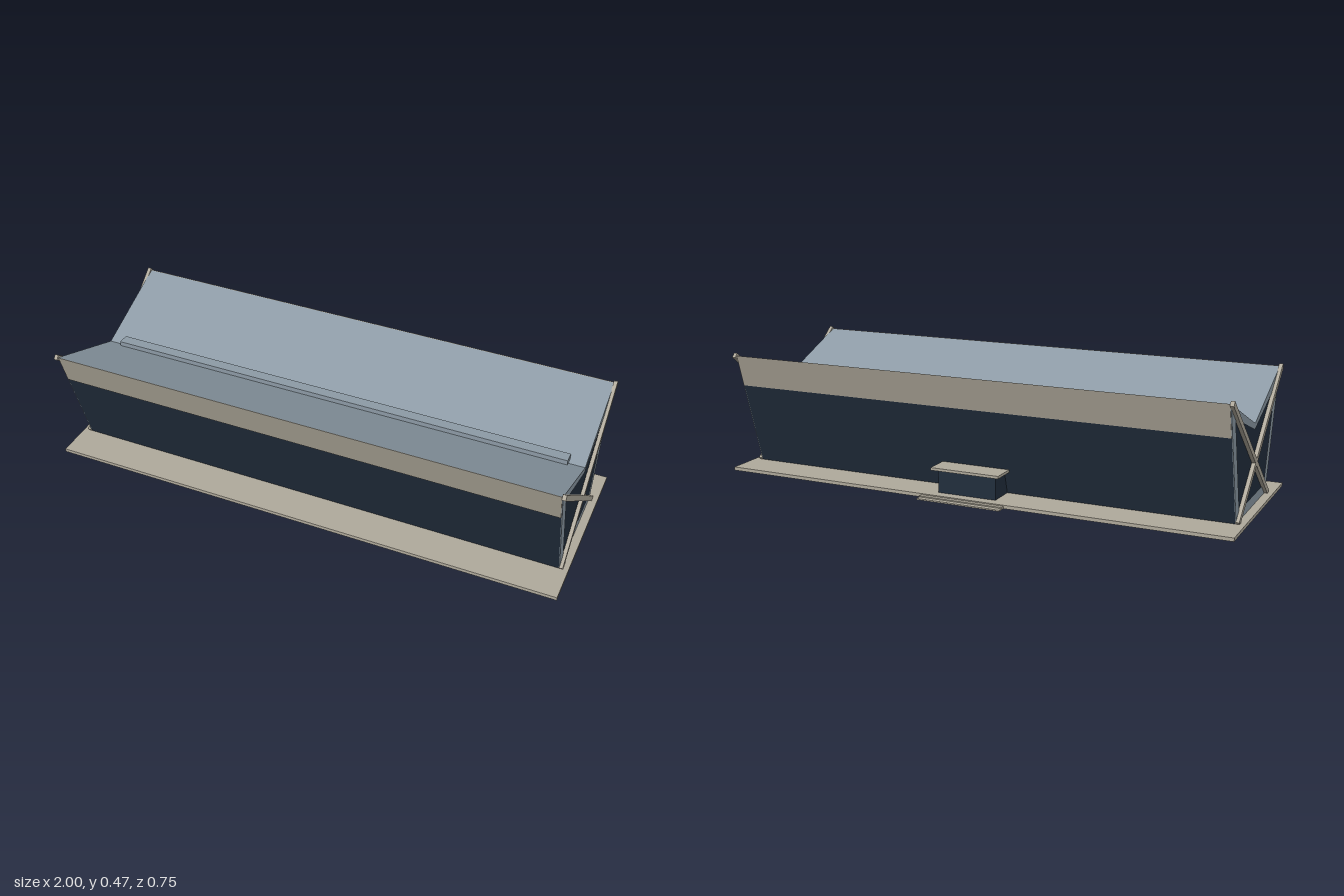
import * as THREE from 'three';

const mat = (name, color) => {
  const m = new THREE.MeshStandardMaterial({ color });
  m.name = name;
  return m;
};

export function createModel() {
  const stone = mat('warm stone', 0xb0aa9c);
  const metal = mat('blue grey metal', 0x8d9ba6);
  const glass = mat('dark glass', 0x222e3d);

  const group = new THREE.Group();
  const hall = new THREE.Group();
  hall.name = 'hall';
  // The hall stands very slightly turned and off centre on its plot
  hall.rotation.y = -0.0095;
  hall.position.z = 0.0125;
  group.add(hall);

  const add = (name, geometry, material) => {
    const mesh = new THREE.Mesh(geometry, material);
    mesh.name = name;
    hall.add(mesh);
    return mesh;
  };
  const box = (name, material, x0, x1, y0, y1, z0, z1) => {
    const mesh = add(name, new THREE.BoxGeometry(x1 - x0, y1 - y0, z1 - z0), material);
    mesh.position.set((x0 + x1) / 2, (y0 + y1) / 2, (z0 + z1) / 2);
    return mesh;
  };
  const outline = pts => pts.map(([z, y]) => new THREE.Vector2(-z, y));
  // Extrude a (z, y) cross-section along x from x0 to x1
  const prism = (name, material, pts, x0, x1, hole) => {
    const shape = new THREE.Shape(outline(pts));
    if (hole) shape.holes.push(new THREE.Path(outline(hole)));
    const geo = new THREE.ExtrudeGeometry(shape, { depth: x1 - x0, bevelEnabled: false });
    geo.rotateY(Math.PI / 2).translate(x0, 0, 0);
    return add(name, geo, material);
  };

  const END = 0.962, FLOOR = 0.013, TIP = 0.457, VALLEY = 0.318;
  const wallZ = y => 0.205 + (y - FLOOR) * 0.304;

  // Plinth
  box('plinth', stone, -0.9965, 0.9965, 0, FLOOR, -0.347, 0.347);

  // Glazed body with leaning walls
  const low = TIP - 0.01;
  prism('glazedBody', glass, [
    [-wallZ(FLOOR), FLOOR], [wallZ(FLOOR), FLOOR], [wallZ(low), low],
    [0, VALLEY - 0.01], [-wallZ(low), low],
  ], -END, END);

  // Butterfly roof and the duct in its valley
  prism('roof', metal, [
    [-wallZ(TIP), TIP], [0, VALLEY], [wallZ(TIP), TIP],
    [wallZ(low), low], [0, VALLEY - 0.01], [-wallZ(low), low],
  ], -END, END);
  box('valleyDuct', metal, -0.905, 0.905, 0.30, 0.345, -0.021, 0.021);

  for (const s of [-1, 1]) {
    // Stone band along the top of each long wall
    prism('wallBand', stone, [
      [s * wallZ(0.335), 0.335], [s * (wallZ(0.335) + 0.003), 0.335],
      [s * (wallZ(TIP) + 0.003), TIP + 0.001], [s * wallZ(TIP), TIP],
    ], -END, END);

    // Metal frame round each end window
    const [x0, x1] = s > 0 ? [END, END + 0.003] : [-END - 0.003, -END];
    prism('endFrame', metal, [
      [-wallZ(FLOOR), FLOOR], [wallZ(FLOOR), FLOOR], [wallZ(TIP), TIP],
      [0, VALLEY], [-wallZ(TIP), TIP],
    ], x0, x1, [
      [-0.172, 0.05], [0.172, 0.05], [0.275, 0.393], [0, 0.295], [-0.275, 0.393],
    ]);

    // Crossed braces over each end
    for (const d of [-1, 1]) {
      const dz = 0.55, dy = 0.447;
      const brace = add('crossBrace',
        new THREE.BoxGeometry(0.014, 0.02, Math.hypot(dz, dy)), stone);
      brace.position.set(s * (END + 0.008), 0.2365, d * 0.07);
      brace.rotation.x = -d * Math.atan2(dy, dz);
    }
  }

  // Rear entrance: lobby, canopy and two steps
  box('lobby', glass, -0.115, 0.115, FLOOR, 0.10, -0.308, -0.18);
  box('canopy', stone, -0.135, 0.135, 0.10, 0.11, -0.328, -0.22);
  box('upperStep', stone, -0.165, 0.165, 0, 0.009, -0.364, -0.345);
  box('lowerStep', stone, -0.165, 0.165, 0, 0.005, -0.384, -0.36);

  return group;
}
